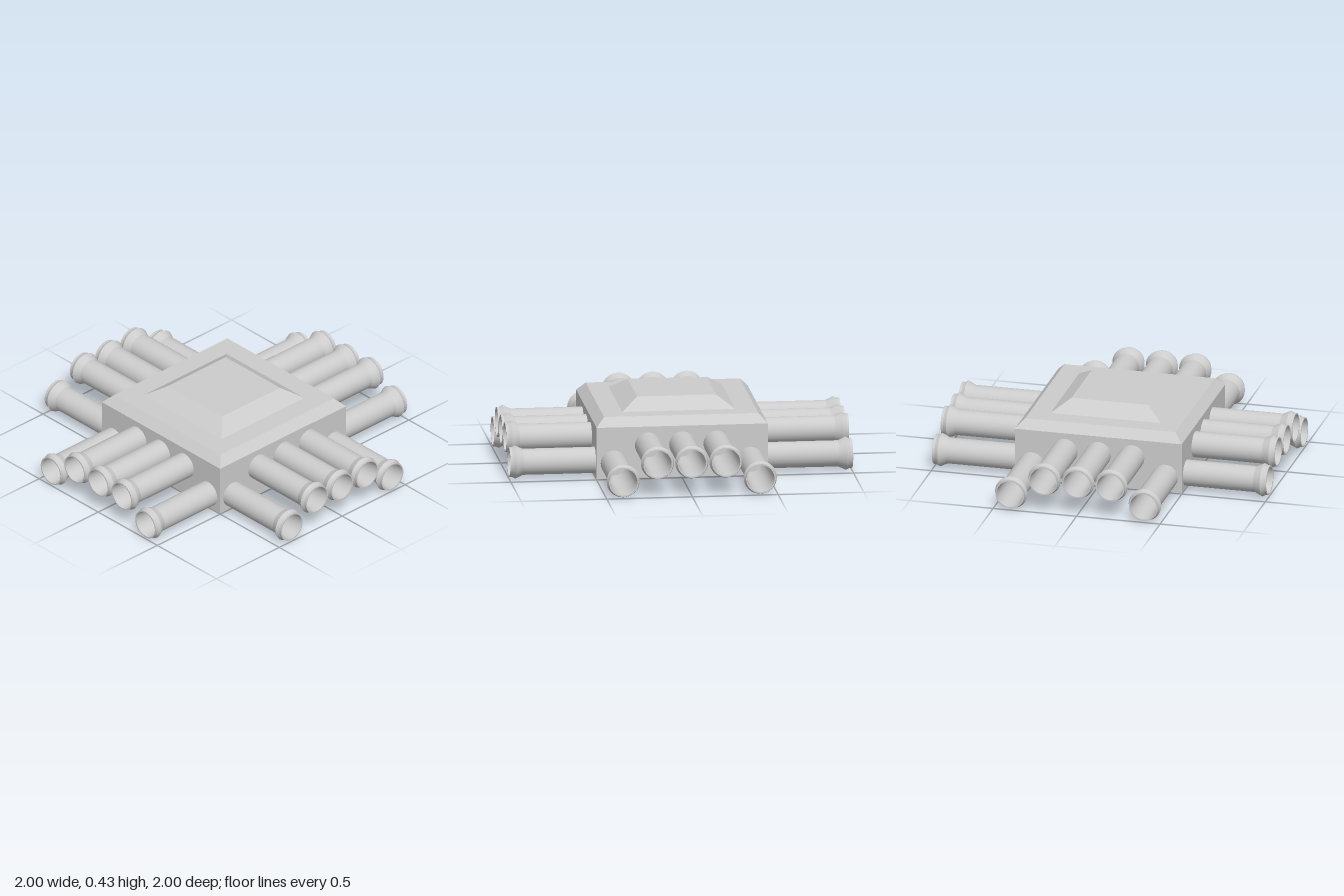
import * as THREE from 'three';
import { toCreasedNormals } from 'three/addons/utils/BufferGeometryUtils.js';

const pts = (list) => list.map(([x, y]) => new THREE.Vector2(x, y));

export function createModel() {
  const model = new THREE.Group();
  model.name = 'pipeJunction';

  // Square hollow housing, open below, with bevelled rim and raised panel
  const halfWidths = [[0.5, 0.007], [0.5, 0.31], [0.45, 0.362], [0.33, 0.362], [0.23, 0.428], [0, 0.428]];
  const shell = new THREE.LatheGeometry(pts(halfWidths.map(([w, y]) => [w * Math.SQRT2, y])), 4);
  shell.rotateY(Math.PI / 4);
  const housing = new THREE.Mesh(shell, new THREE.MeshStandardMaterial({
    color: 0xcccccc, flatShading: true, side: THREE.DoubleSide,
  }));
  housing.name = 'housing';
  model.add(housing);

  // Hollow pipe profile with a flared collar at each end
  const collar = [[0.076, 0.92], [0.097, 0.965], [0.087, 0.985], [0.087, 1]];
  const bore = [[0.079, 1], [0.073, 0.93]];
  const flip = (list) => list.map(([r, y]) => [r, -y]).reverse();
  const profile = [...flip(collar), ...collar, ...bore, ...flip(bore), [0.087, -1]];
  const pipeGeometry = toCreasedNormals(new THREE.LatheGeometry(pts(profile), 32), 0.4);
  const pipeMaterial = new THREE.MeshStandardMaterial({ color: 0xcccccc, side: THREE.DoubleSide });

  // Five pipes run through the housing in each direction, the outer ones lower
  for (const offset of [-0.4, -0.2, 0, 0.2, 0.4]) {
    const y = Math.abs(offset) > 0.3 ? 0.098 : 0.2;

    const lengthwise = new THREE.Mesh(pipeGeometry, pipeMaterial);
    lengthwise.name = 'lengthwisePipe';
    lengthwise.rotation.x = Math.PI / 2;
    lengthwise.position.set(offset, y, 0);

    const crosswise = new THREE.Mesh(pipeGeometry, pipeMaterial);
    crosswise.name = 'crosswisePipe';
    crosswise.rotation.z = Math.PI / 2;
    crosswise.position.set(0, y, offset);

    model.add(lengthwise, crosswise);
  }
  return model;
}
